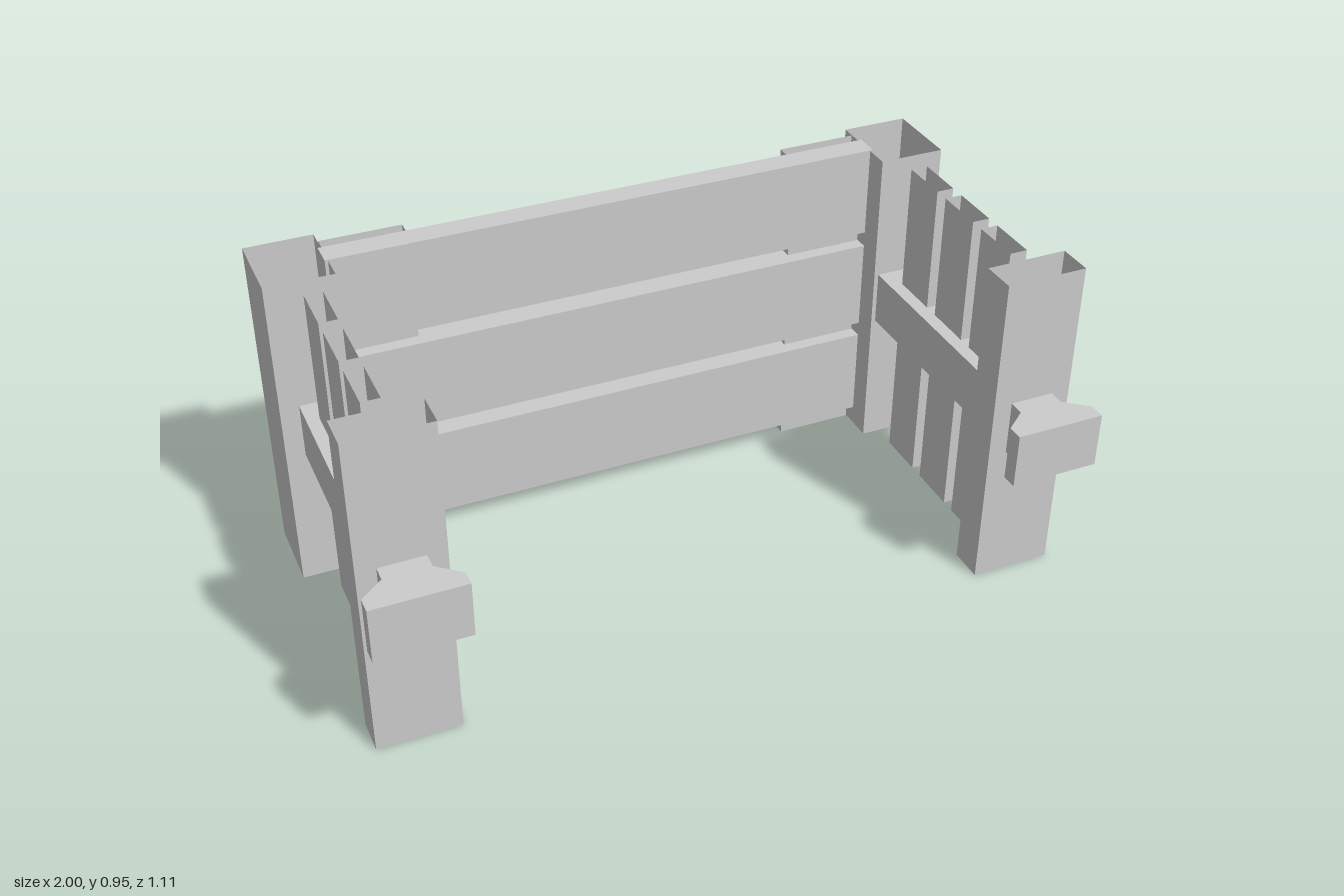
import * as THREE from 'three';

const material = new THREE.MeshStandardMaterial({ color: 0xcccccc, flatShading: true, side: THREE.DoubleSide });

// Box given by its limits; open = no top and bottom faces
function box(name, [x0, x1], [y0, y1], [z0, z1], open = false) {
  const geo = new THREE.BoxGeometry(x1 - x0, y1 - y0, z1 - z0);
  if (open) {
    const idx = Array.from(geo.index.array);
    idx.splice(12, 12);
    geo.setIndex(idx);
    geo.clearGroups();
  }
  geo.translate((x0 + x1) / 2, (y0 + y1) / 2, (z0 + z1) / 2);
  const mesh = new THREE.Mesh(geo, material);
  mesh.name = name;
  return mesh;
}

// Side rail running through the front post, flaring into a block at its front end
function armRail(cx) {
  const half = 0.0625, flare = 0.1265;
  const outline = [
    [-half, -0.4], [half, -0.4], [half, 0.458], [flare, 0.51],
    [flare, 0.555], [-flare, 0.555], [-flare, 0.51], [-half, 0.458],
  ];
  const shape = new THREE.Shape(outline.map(([x, z]) => new THREE.Vector2(x, -z)));
  const geo = new THREE.ExtrudeGeometry(shape, { depth: 0.158, bevelEnabled: false });
  geo.rotateX(-Math.PI / 2).translate(cx, 0.413, 0);
  const mesh = new THREE.Mesh(geo, material);
  mesh.name = 'armRail';
  return mesh;
}

export function createModel() {
  const model = new THREE.Group();
  model.name = 'slattedFrame';
  const height = [0, 0.945];

  for (const s of [1, -1]) {
    const span = (a, b) => (s > 0 ? [a, b] : [-b, -a]);
    const side = new THREE.Group();
    side.name = s > 0 ? 'leftSide' : 'rightSide';

    // Upright posts and the plank behind the back boards
    side.add(box('frontPost', span(0.757, 0.988), height, [0.313, 0.413], true));
    side.add(box('cornerPost', span(0.797, 0.988), height, [-0.553, -0.327], true));
    side.add(box('backPlank', span(0.565, 0.795), height, [-0.512, -0.44], true));

    // Side slats
    for (const z of [0.198, 0.01, -0.18]) {
      side.add(box('sideSlat', span(0.849, 0.899), height, [z - 0.073, z + 0.073], true));
    }
    side.add(armRail(s * 0.8725));
    model.add(side);
  }

  // Horizontal back boards
  for (const y of [0.055, 0.366, 0.679]) {
    model.add(box('backBoard', [-0.806, 0.806], [y, y + 0.268], [-0.473, -0.401]));
  }
  return model;
}
